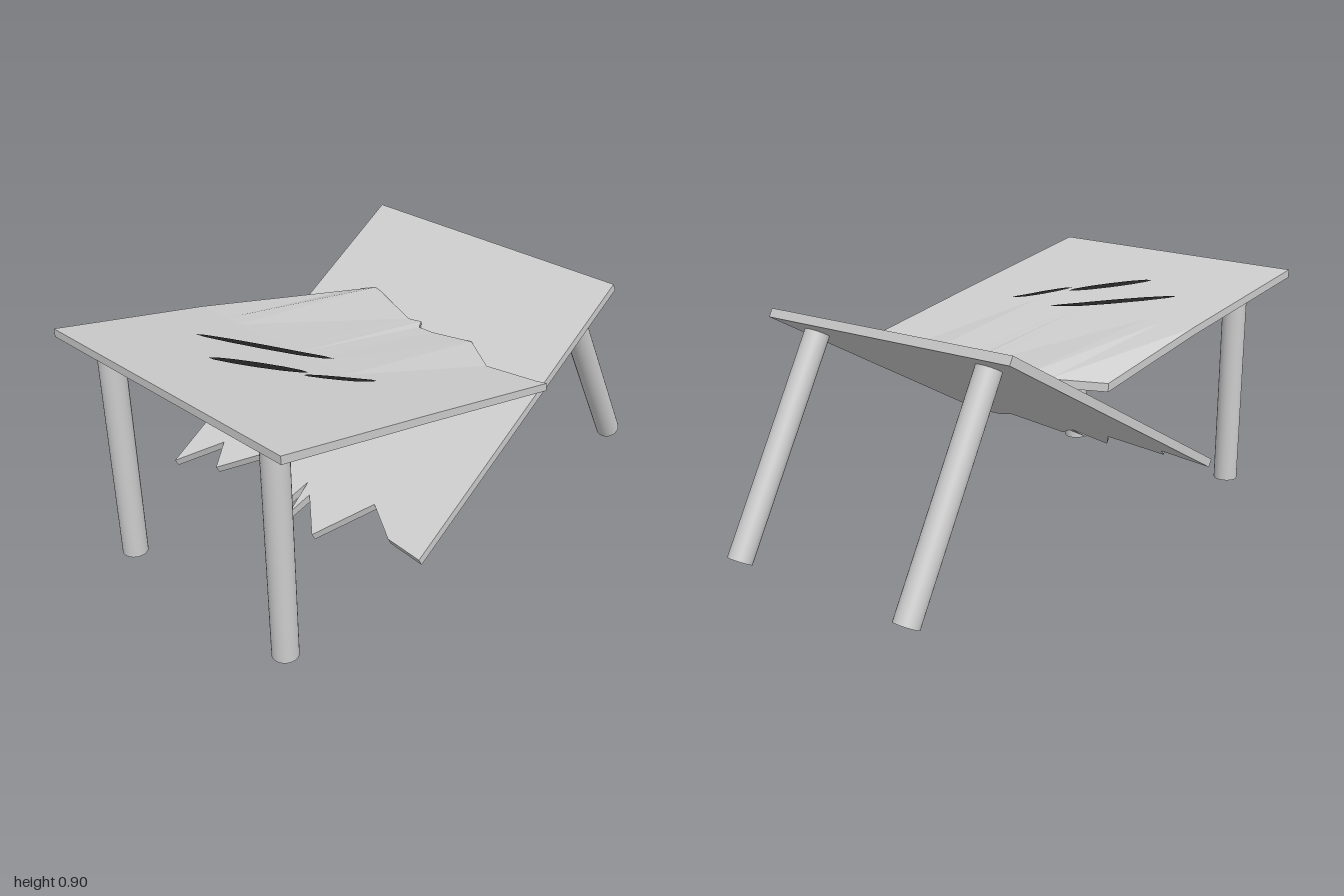
import * as THREE from 'three';

// Solid plank from rows of top points (rows run towards +z, points towards +x) and a thickness vector.
function plankGeometry(rows, down) {
  const pos = [];
  const low = (p) => p.clone().add(down);
  const quad = (a, b, c, d) => [a, b, c, a, c, d].forEach((p) => pos.push(p.x, p.y, p.z));
  const n = rows.length, m = rows[0].length;
  for (let i = 0; i < n - 1; i++) {
    for (let j = 0; j < m - 1; j++) {
      const a = rows[i][j], b = rows[i + 1][j], c = rows[i + 1][j + 1], d = rows[i][j + 1];
      quad(a, b, c, d);
      quad(low(d), low(c), low(b), low(a));
    }
  }
  // Rim, counter-clockwise seen from above
  const rim = [
    ...rows.map((r) => r[0]),
    ...rows[n - 1].slice(1),
    ...rows.slice(0, -1).reverse().map((r) => r[m - 1]),
    ...rows[0].slice(1, -1).reverse(),
  ];
  rim.forEach((p, i) => {
    const q = rim[(i + 1) % rim.length];
    quad(p, low(p), low(q), q);
  });
  const geo = new THREE.BufferGeometry();
  geo.setAttribute('position', new THREE.Float32BufferAttribute(pos, 3));
  geo.computeVertexNormals();
  return geo;
}

export function createModel() {
  const group = new THREE.Group();
  const grey = new THREE.MeshStandardMaterial({ color: 0xcccccc });
  grey.name = 'tableGrey';
  const dark = new THREE.MeshStandardMaterial({ color: 0x222222, side: THREE.DoubleSide });
  dark.name = 'crackDark';
  const V = (x, y, z) => new THREE.Vector3(x, y, z);
  const lerp = THREE.MathUtils.lerp;
  const add = (name, geo, mat) => {
    const mesh = new THREE.Mesh(geo, mat);
    mesh.name = name;
    group.add(mesh);
    return mesh;
  };

  // Upper half: slopes down from the standing legs, folds slightly, ends in a torn edge
  const foldX = -0.4;
  const slopeY = (x) => 0.905 - 0.215 * (x + 1);
  const upperEdge = [
    [0.05, 0.66, -0.53], [0.2, 0.682, -0.395], [0.28, 0.69, -0.325], [0.19, 0.676, -0.07],
    [0.21, 0.672, -0.025], [0.17, 0.672, 0], [0.18, 0.668, 0.06], [0.235, 0.66, 0.2],
    [0.14, 0.655, 0.35], [0.19, 0.645, 0.53], [0.21, 0.64, 0.565],
  ];
  const upperRows = upperEdge.map(([x, y, z]) => {
    const zLeft = lerp(-0.58, 0.53, (z + 0.53) / 1.095);
    return [V(-1, 0.905, zLeft), V(foldX, slopeY(foldX), (zLeft + z) / 2), V(x, y, z)];
  });
  add('upperTableHalf', plankGeometry(upperRows, V(0, -0.03, 0)), grey);

  // Lower half: tilted plane with a splintered end
  const planeY = (x, z) => 0.527 + 0.5474 * x - 0.0427 * z;
  const normal = V(-0.5474, 1, 0.0427).normalize();
  const splinters = [
    [-0.61, -0.525], [-0.47, -0.4], [-0.555, -0.35], [-0.406, -0.19], [-0.612, -0.025],
    [-0.435, 0.02], [-0.552, 0.04], [-0.468, 0.06], [-0.569, 0.175], [-0.386, 0.3],
    [-0.455, 0.43], [-0.46, 0.575],
  ];
  const lowerRows = splinters.map(([x, z]) => {
    const t = (z + 0.525) / 1.1;
    const xr = lerp(0.585, 0.642, t), zr = lerp(-0.583, 0.523, t);
    return [V(x, planeY(x, z), z), V(xr, planeY(xr, zr), zr)];
  });
  add('lowerTableHalf', plankGeometry(lowerRows, normal.clone().multiplyScalar(-0.033)), grey);

  // Round legs between two points
  const leg = (name, foot, top) => {
    const dir = top.clone().sub(foot);
    const mesh = add(name, new THREE.CylinderGeometry(0.046, 0.046, dir.length(), 32), grey);
    mesh.position.copy(foot).add(top).multiplyScalar(0.5);
    mesh.quaternion.setFromUnitVectors(V(0, 1, 0), dir.normalize());
  };
  for (const z of [0.4, -0.4]) leg('standingLeg', V(-0.91, 0.03, z), V(-0.91, 0.87, z));
  leg('leaningLeg', V(0.955, 0.03, 0.367), V(0.537, 0.78, 0.4));
  leg('leaningLeg', V(0.91, 0.042, -0.435), V(0.492, 0.79, -0.4));

  // Narrow dark cracks along the fold
  const crack = (x0, z0, x1, z1, width) => {
    const geo = new THREE.CircleGeometry(1, 12);
    const p = geo.attributes.position;
    const len = Math.hypot(x1 - x0, z1 - z0);
    for (let i = 0; i < p.count; i++) {
      const u = (p.getX(i) + 1) / 2, v = p.getY(i) * width / 2;
      const x = lerp(x0, x1, u) + v * (z1 - z0) / len;
      const z = lerp(z0, z1, u) - v * (x1 - x0) / len;
      const y = x < foldX ? slopeY(x) : lerp(slopeY(foldX), 0.69, (x - foldX) / 0.62);
      p.setXYZ(i, x, y + 0.004, z);
    }
    geo.computeVertexNormals();
    add('crack', geo, dark);
  };
  crack(-0.61, -0.33, -0.34, 0.07, 0.04);
  crack(-0.71, -0.14, -0.5, 0.11, 0.045);
  crack(-0.53, 0.12, -0.35, 0.28, 0.03);

  return group;
}
